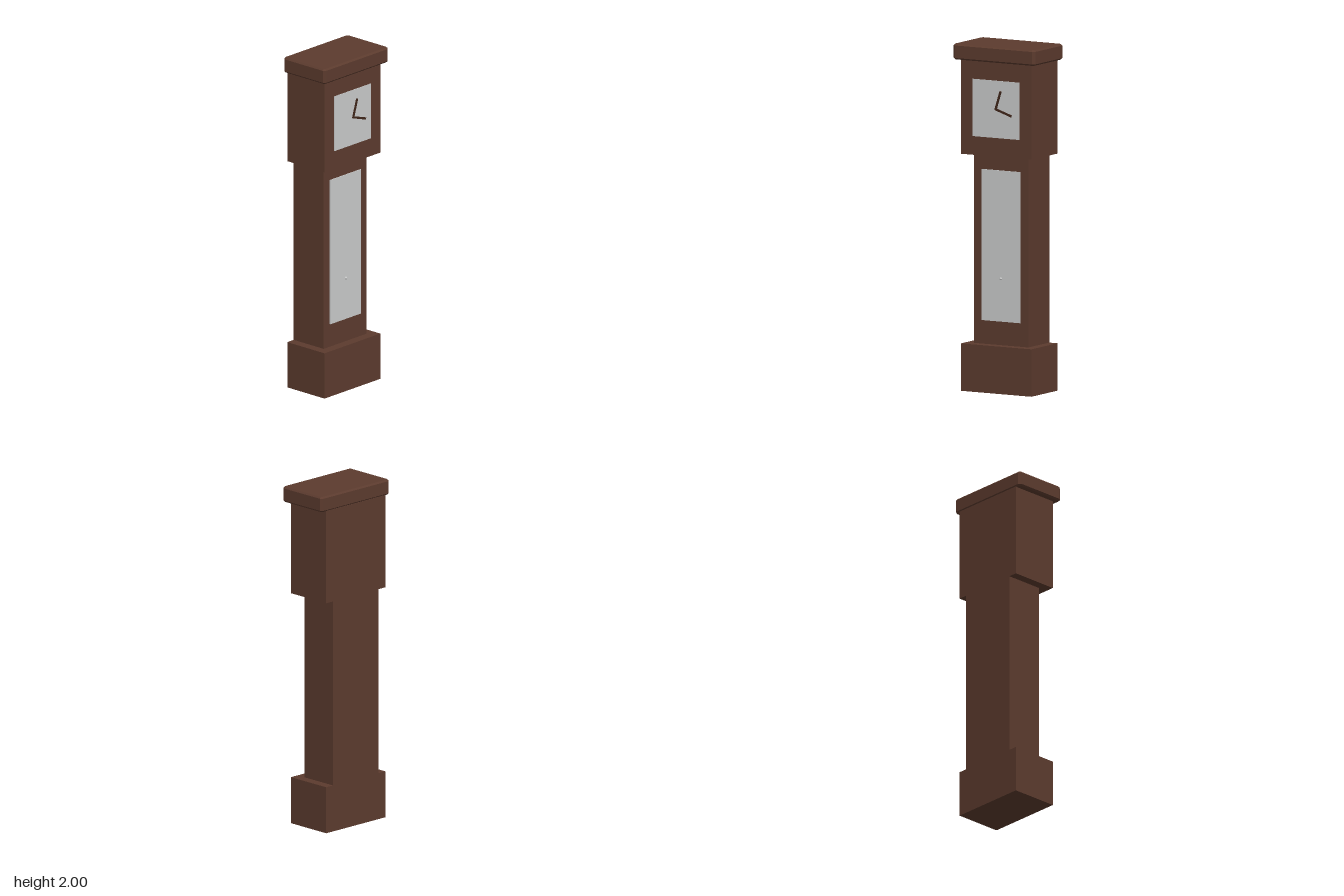
import * as THREE from 'three';

export function createModel() {
  const clock = new THREE.Group();
  clock.name = 'longcaseClock';

  const material = (name, color) => {
    const m = new THREE.MeshStandardMaterial({ color });
    m.name = name;
    return m;
  };
  const wood = material('brown wood', 0x5c3b2e);
  const pale = material('pale grey', 0xcacbcb);
  const dark = material('dark brown', 0x40261a);

  const add = (name, geometry, mat) => {
    const mesh = new THREE.Mesh(geometry, mat);
    mesh.name = name;
    clock.add(mesh);
    return mesh;
  };
  // Box given by its limits on each axis
  const box = (name, mat, [x0, x1], [y0, y1], [z0, z1]) =>
    add(name, new THREE.BoxGeometry(x1 - x0, y1 - y0, z1 - z0), mat)
      .position.set((x0 + x1) / 2, (y0 + y1) / 2, (z0 + z1) / 2);

  // Case: plinth, narrower trunk and hood share a flush back
  const back = -0.16;
  box('plinth', wood, [-0.236, 0.233], [0, 0.273], [back, 0.129]);
  box('trunk', wood, [-0.182, 0.179], [0.273, 1.365], [back, 0.072]);
  box('hood', wood, [-0.236, 0.233], [1.365, 1.912], [back, 0.129]);

  // Cornice with chamfered corners and edges
  const c = 0.009, w = 0.272 - c, d = 0.163 - c, h = 0.09;
  const outline = new THREE.Shape([
    [-w + c, -d], [w - c, -d], [w, -d + c], [w, d - c],
    [w - c, d], [-w + c, d], [-w, d - c], [-w, -d + c],
  ].map(([x, y]) => new THREE.Vector2(x, y)));
  const cornice = new THREE.ExtrudeGeometry(outline, {
    depth: h - 2 * c, bevelEnabled: true, bevelSegments: 1, bevelSize: c, bevelThickness: c,
  });
  cornice.rotateX(-Math.PI / 2);
  add('cornice', cornice, wood).position.y = 2 - h + c;

  // Dial and trunk door panel
  box('dial', pale, [-0.156, 0.153], [1.473, 1.803], [0.127, 0.132]);
  box('doorPanel', pale, [-0.131, 0.127], [0.409, 1.279], [0.07, 0.077]);

  // Door knob
  const knob = add('doorKnob', new THREE.SphereGeometry(0.008, 16, 12), pale);
  knob.position.set(-0.001, 0.656, 0.077);

  // Clock hands from the centre of the dial to their tips
  const pivot = new THREE.Vector2(-0.001, 1.639);
  const hand = (name, x, y) => {
    const dir = new THREE.Vector2(x, y).sub(pivot);
    const mesh = add(name, new THREE.BoxGeometry(dir.length() + 0.012, 0.012, 0.006), dark);
    mesh.position.set((pivot.x + x) / 2, (pivot.y + y) / 2, 0.135);
    mesh.rotation.z = dir.angle();
  };
  hand('hourHand', 0.03, 1.738);
  hand('minuteHand', 0.098, 1.607);

  return clock;
}
